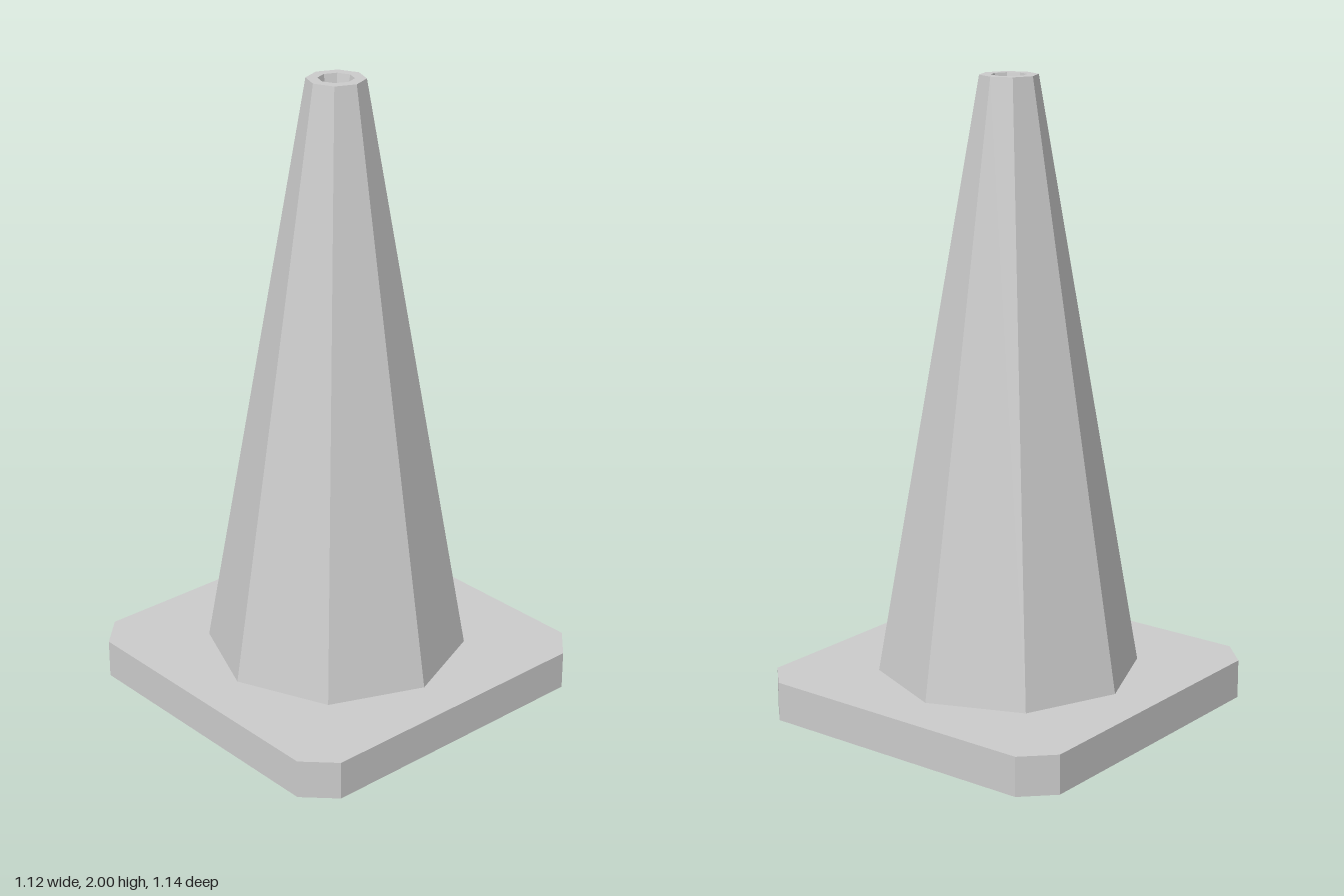
import * as THREE from 'three';

export function createModel() {
  const model = new THREE.Group();
  const material = new THREE.MeshStandardMaterial({ color: 0xcccccc, flatShading: true });
  const SIDES = 8;
  const BASE_HEIGHT = 0.125;
  const HOLLOW_RADIUS = 0.41;

  const add = (name, geometry) => {
    const mesh = new THREE.Mesh(geometry, material);
    mesh.name = name;
    model.add(mesh);
    return mesh;
  };
  const lathe = (points) =>
    new THREE.LatheGeometry(points.map(([r, y]) => new THREE.Vector2(r, y)), SIDES);

  // Square base plate with cut corners and an eight-sided opening
  const [w, d, cut] = [0.56, 0.57, 0.092];
  const outline = new THREE.Shape([
    [w - cut, -d], [w, cut - d], [w, d - cut], [w - cut, d],
    [cut - w, d], [-w, d - cut], [-w, cut - d], [cut - w, -d],
  ].map(([x, y]) => new THREE.Vector2(x, y)));
  const opening = [];
  for (let i = 0; i < SIDES; i++) {
    const a = (-i / SIDES) * Math.PI * 2;
    opening.push(new THREE.Vector2(Math.cos(a) * HOLLOW_RADIUS, Math.sin(a) * HOLLOW_RADIUS));
  }
  outline.holes.push(new THREE.Path(opening));
  const plate = new THREE.ExtrudeGeometry(outline, { depth: BASE_HEIGHT, bevelEnabled: false });
  plate.rotateX(-Math.PI / 2);
  add('basePlate', plate);

  // Tapered body, flat rim and the pointed recess in the top
  add('coneBody', lathe([[0.415, BASE_HEIGHT], [0.09, 2], [0.055, 2], [0, 1.72]]));

  // Hollow underside, facing inward
  add('coneHollow', lathe([[0, 1.68], [HOLLOW_RADIUS, 0]]));

  return model;
}
